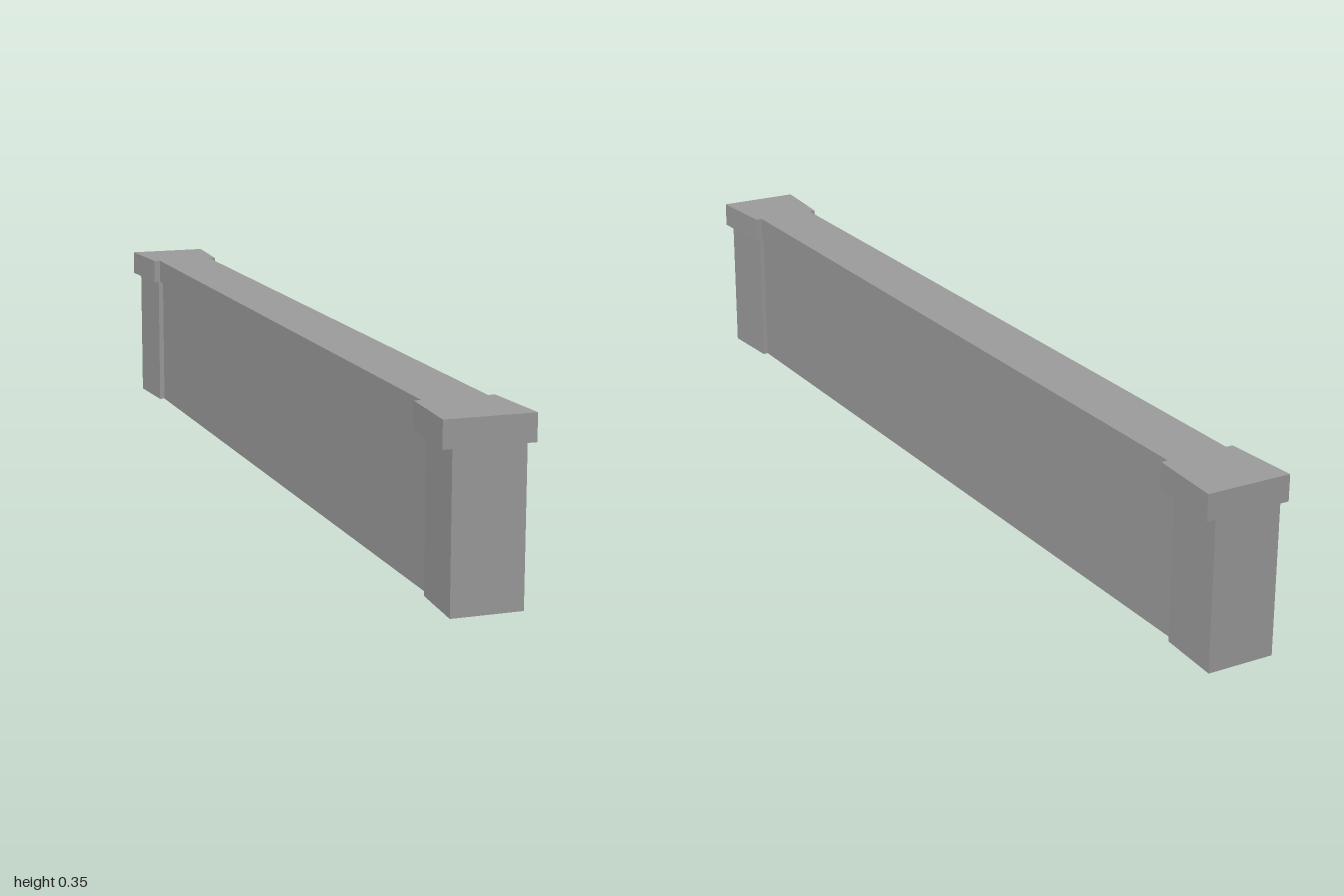
import * as THREE from 'three';

// Prism from a plan outline: slim middle with tapered, wider ends, symmetric in x and z
function layer(name, material, { end, shoulder, middle, stepZ, y0, y1 }) {
  const quarter = [[end, 1], [shoulder, stepZ], [middle, stepZ]];
  const mirrored = quarter.map(([x, z]) => [x, -z]).reverse();
  const side = [...quarter, ...mirrored];
  const opposite = side.map(([x, z]) => [-x, z]).reverse();
  const shape = new THREE.Shape([...side, ...opposite].map(([x, z]) => new THREE.Vector2(x, z)));
  const geometry = new THREE.ExtrudeGeometry(shape, { depth: y1 - y0, bevelEnabled: false });
  geometry.rotateX(-Math.PI / 2).translate(0, y0, 0);
  const mesh = new THREE.Mesh(geometry, material);
  mesh.name = name;
  return mesh;
}

export function createModel() {
  const model = new THREE.Group();
  model.name = 'lowWall';
  const stone = new THREE.MeshStandardMaterial({ color: 0x9d9d9d });
  stone.name = 'grey stone';

  // Wall body with a pillar at each end
  model.add(layer('wallAndPillars', stone,
    { end: 0.069, shoulder: 0.061, middle: 0.05, stepZ: 0.865, y0: 0, y1: 0.297 }));
  // Overhanging coping, flush with the pillar end faces
  model.add(layer('coping', stone,
    { end: 0.087, shoulder: 0.077, middle: 0.063, stepZ: 0.845, y0: 0.297, y1: 0.349 }));
  return model;
}
